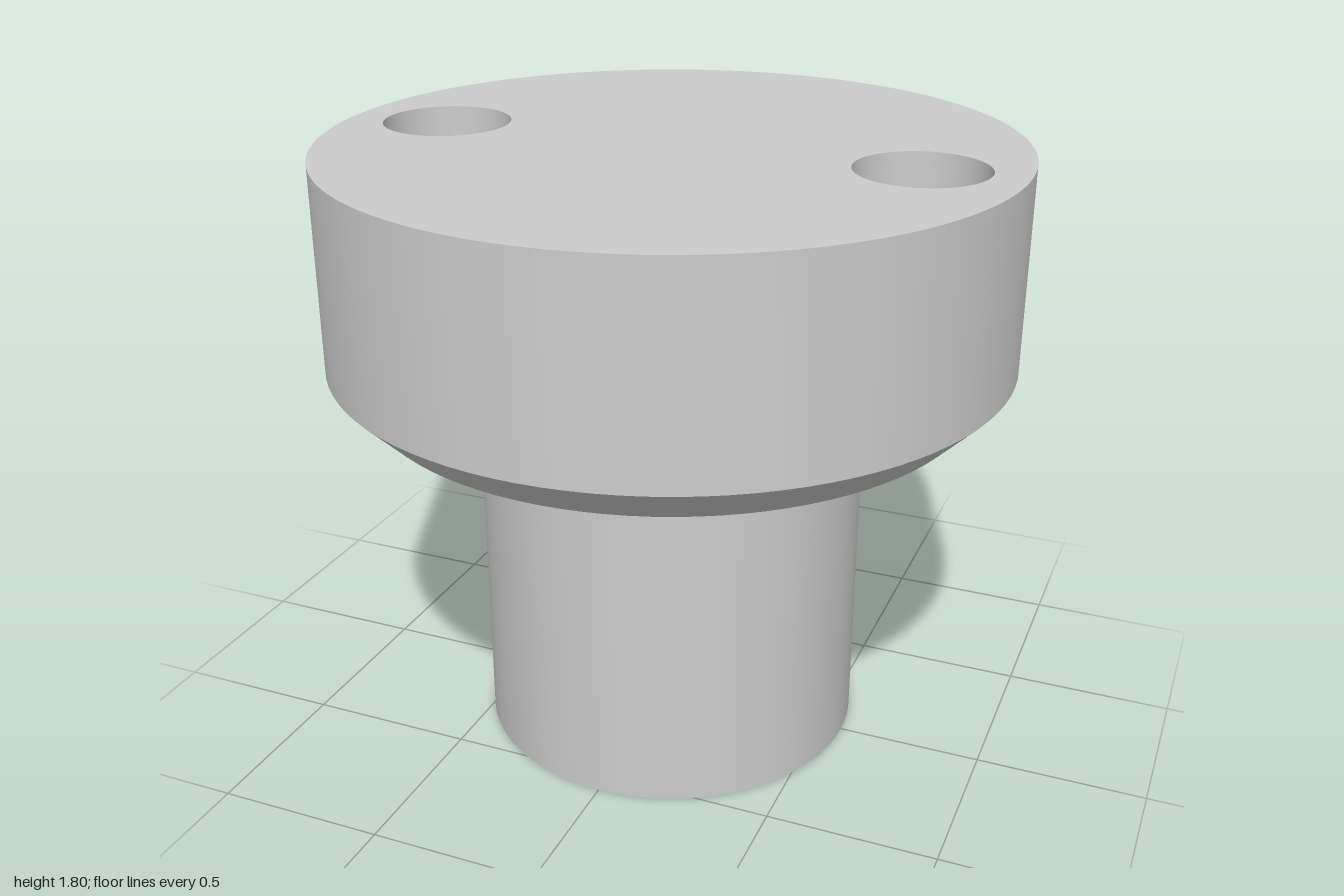
import * as THREE from 'three';
import { toCreasedNormals } from 'three/addons/utils/BufferGeometryUtils.js';

const SEGMENTS = 96;
const HEAD_RADIUS = 1, HEAD_TOP = 1.8, HEAD_BOTTOM = 1.09;
const STEM_RADIUS = 0.57;
const HOLE_RADIUS = 0.187, HOLE_OFFSET = 0.713;
const TOP_HOLE_DEPTH = 0.42, STEM_HOLE_DEPTH = 0.6;

export function createModel() {
  const group = new THREE.Group();
  const steel = new THREE.MeshStandardMaterial({ color: 0xcccccc });
  steel.name = 'steel grey';

  const add = (name, geometry) => {
    const mesh = new THREE.Mesh(geometry, steel);
    mesh.name = name;
    group.add(mesh);
    return mesh;
  };

  // Turned surface with sharp edges between its bands
  const turned = (name, profile) => add(name, toCreasedNormals(
    new THREE.LatheGeometry(profile.map(([r, y]) => new THREE.Vector2(r, y)), SEGMENTS), 0.5));

  // Stem with a blind bore in its lower end
  turned('stem', [
    [0, STEM_HOLE_DEPTH], [HOLE_RADIUS, STEM_HOLE_DEPTH], [HOLE_RADIUS, 0],
    [STEM_RADIUS, 0], [STEM_RADIUS, HEAD_BOTTOM],
  ]);

  // Head: underside, chamfer and rim
  turned('head', [
    [STEM_RADIUS, HEAD_BOTTOM], [0.89, HEAD_BOTTOM], [HEAD_RADIUS, 1.2], [HEAD_RADIUS, HEAD_TOP],
  ]);

  // Flat top face, pierced by two holes
  const face = new THREE.Shape().absarc(0, 0, HEAD_RADIUS, 0, Math.PI * 2, false);
  for (const side of [-1, 1]) {
    face.holes.push(new THREE.Path().absarc(side * HOLE_OFFSET, 0, HOLE_RADIUS, 0, Math.PI * 2, true));

    // Wall and floor of each blind hole
    const hole = turned(side > 0 ? 'leftHole' : 'rightHole', [
      [HOLE_RADIUS, HEAD_TOP], [HOLE_RADIUS, HEAD_TOP - TOP_HOLE_DEPTH], [0, HEAD_TOP - TOP_HOLE_DEPTH],
    ]);
    hole.position.x = side * HOLE_OFFSET;
  }
  const top = new THREE.ShapeGeometry(face, SEGMENTS);
  top.rotateX(-Math.PI / 2).translate(0, HEAD_TOP, 0);
  add('topFace', top);

  return group;
}
